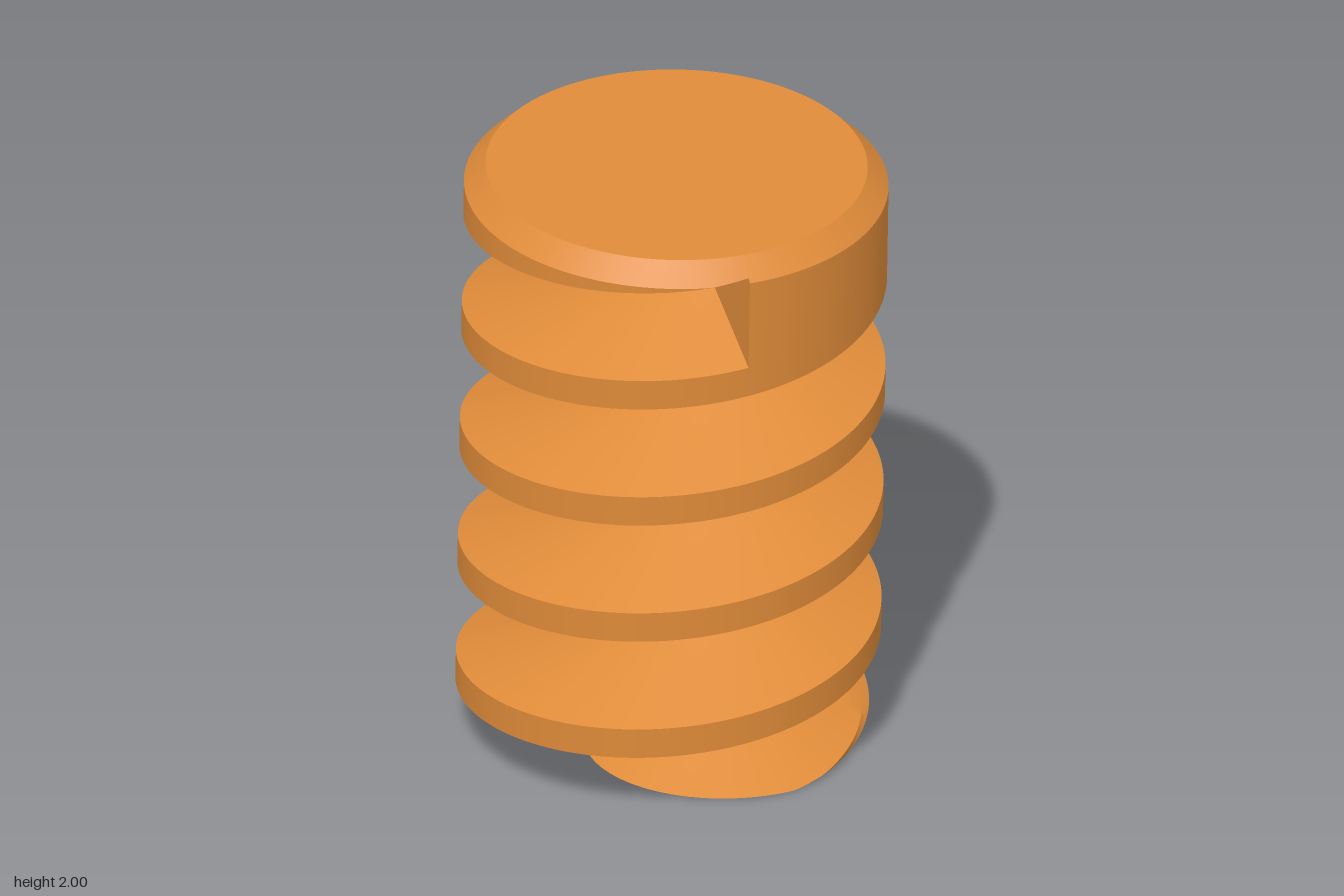
import * as THREE from 'three';
import { toCreasedNormals } from 'three/addons/utils/BufferGeometryUtils.js';

const H = 1.953, PITCH = 0.41, OUTER = 0.65, CORE = 0.32, CHAMFER = 0.065;
const START = 1.54; // height of the last crest at the front, where the head begins
const BORE = 0.21, FLAT = 0.135, DEPTH = 1.4;
const COLUMNS = 144, STEPS = 6;

// Trapezoid thread: flank and root breakpoints below each crest
const BREAKS = [-0.36, -0.23, -0.18, -0.05];

function threadRadius(u) {
  if (u >= BREAKS[3]) return OUTER; // the head is solid above its lower edge
  const v = u - Math.ceil(u / PITCH) * PITCH;
  const [a, b, c, d] = BREAKS;
  if (v <= a || v >= d) return OUTER;
  if (v < b) return OUTER - (OUTER - CORE) * (v - a) / (b - a);
  if (v <= c) return CORE;
  return CORE + (OUTER - CORE) * (v - c) / (d - c);
}

const chamfered = (r, y) => Math.min(r, OUTER - CHAMFER + Math.min(y, H - y));

// Radius of the D-shaped bore, flat towards the back
function boreRadius(t) {
  const c = -Math.cos(t);
  return c > 0 ? Math.min(BORE, FLAT / c) : BORE;
}

// Helical rows from the lowest turn up to the underside of the head
const rows = [];
for (let k = 4; k >= 0; k--) {
  const stops = [-PITCH + BREAKS[3], ...BREAKS];
  for (let i = 0; i < 4; i++)
    for (let s = 0; s < STEPS; s++)
      rows.push(-k * PITCH + THREE.MathUtils.lerp(stops[i], stops[i + 1], s / STEPS));
}
rows.push(BREAKS[3]);

// Section at one angle: bottom face, thread, head, chamfer, top face
function bodySection(t) {
  const base = START + PITCH * t / (2 * Math.PI);
  const section = [[boreRadius(t), 0]];
  for (const u of rows) {
    const y = Math.max(0, u + base);
    section.push([chamfered(threadRadius(y - base), y), y]);
  }
  const shoulder = Math.max(H - CHAMFER, base + BREAKS[3]);
  section.push([chamfered(OUTER, shoulder), shoulder], [OUTER - CHAMFER, H], [0, H]);
  return section;
}

// Blind hole from its closed end down to the bottom face
function boreSection(t) {
  const r = boreRadius(t);
  return [[0, DEPTH], [r, DEPTH], [r, 0]];
}

// Sweep a varying section once around the axis
function sweep(sectionAt) {
  const grid = [];
  for (let i = 0; i <= COLUMNS; i++) {
    const t = 2 * Math.PI * i / COLUMNS;
    grid.push(sectionAt(t).map(([r, y]) => new THREE.Vector3(r * Math.sin(t), y, r * Math.cos(t))));
  }
  const pos = [];
  const tri = (a, b, c) => {
    const area = b.clone().sub(a).cross(c.clone().sub(a)).length();
    if (area > 1e-8) for (const p of [a, b, c]) pos.push(p.x, p.y, p.z);
  };
  for (let i = 0; i < COLUMNS; i++) {
    for (let j = 0; j < grid[0].length - 1; j++) {
      const a = grid[i][j], b = grid[i + 1][j], c = grid[i + 1][j + 1], d = grid[i][j + 1];
      tri(a, b, c);
      tri(a, c, d);
    }
  }
  const g = new THREE.BufferGeometry();
  g.setAttribute('position', new THREE.Float32BufferAttribute(pos, 3));
  return toCreasedNormals(g, 0.6);
}

export function createModel() {
  const model = new THREE.Group();
  model.name = 'wormScrew';
  const orange = new THREE.MeshStandardMaterial({ color: 0xdf8b39 });
  orange.name = 'orange';

  const screw = new THREE.Group();
  screw.name = 'screw';
  const add = (name, geometry) => {
    const mesh = new THREE.Mesh(geometry, orange);
    mesh.name = name;
    screw.add(mesh);
  };

  add('threadedBody', sweep(bodySection));
  add('shaftBore', sweep(boreSection));

  // Wall closing the thread groove where the head starts
  const [a, b, c, d] = BREAKS.map((u) => START + PITCH + u);
  const wall = new THREE.Shape([
    new THREE.Vector2(OUTER, a), new THREE.Vector2(OUTER, H - CHAMFER),
    new THREE.Vector2(chamfered(OUTER, d), d),
    new THREE.Vector2(CORE, c), new THREE.Vector2(CORE, b),
  ]);
  add('grooveEndWall', new THREE.ShapeGeometry(wall).rotateY(-Math.PI / 2));

  // The axis leans slightly forward
  screw.rotation.x = 0.0427;
  screw.position.set(0, 0.023, -0.041);
  model.add(screw);
  return model;
}
